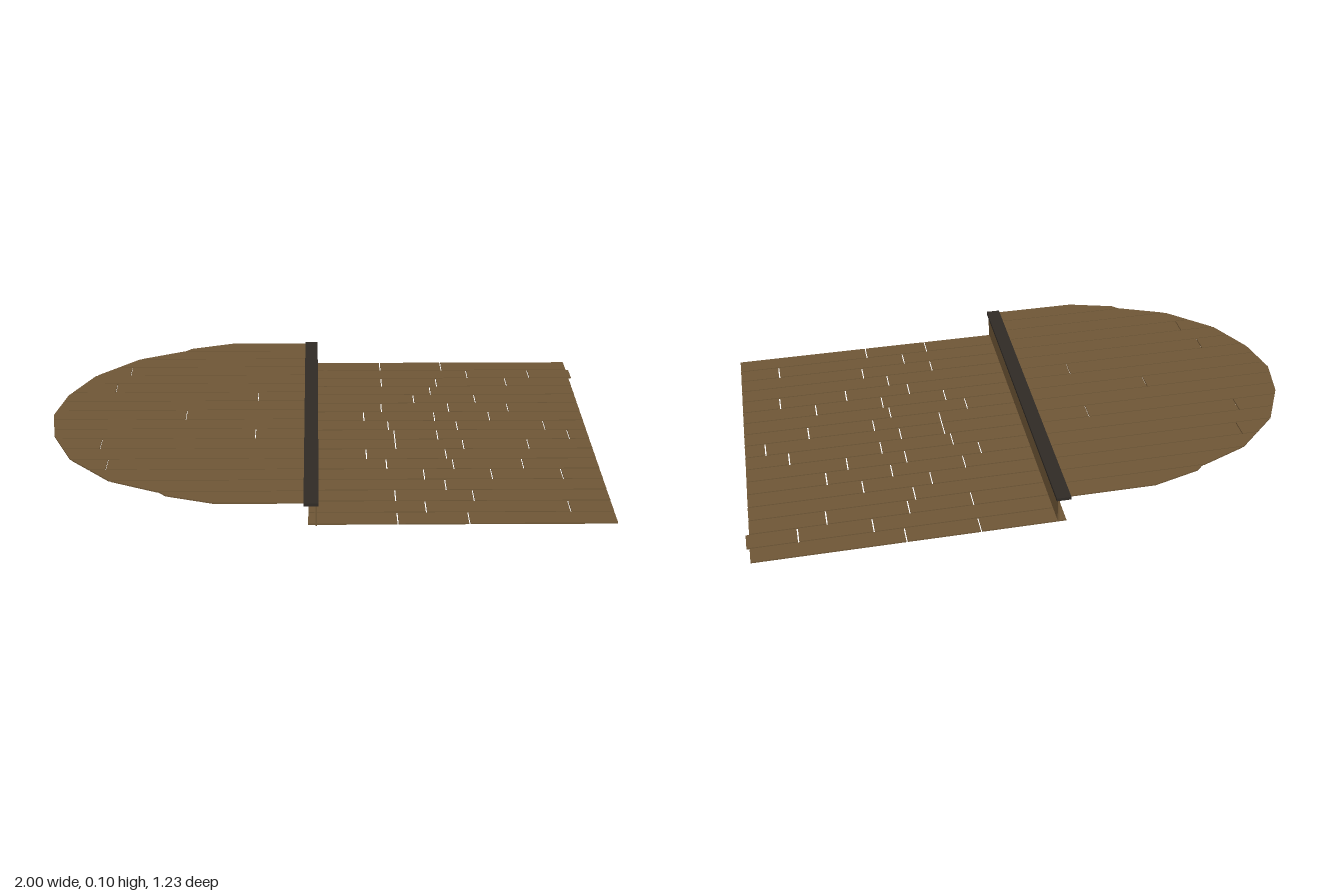
import * as THREE from 'three';

const wood = new THREE.MeshStandardMaterial({ color: 0x6e5636, flatShading: true });
const darkWood = new THREE.MeshStandardMaterial({ color: 0x2f2a25, flatShading: true });
const ROWS = 17;
const THICK = 0.005;

// A flat board from an outline in x and z, with its top at the given height
function board(name, outline, top) {
  const shape = new THREE.Shape(outline.map(([x, z]) => new THREE.Vector2(x, z)));
  const geo = new THREE.ExtrudeGeometry(shape, { depth: THICK, bevelEnabled: false });
  geo.rotateX(Math.PI / 2);
  const mesh = new THREE.Mesh(geo, wood);
  mesh.name = name;
  mesh.position.y = top;
  return mesh;
}

function box(name, material, [x0, x1], [y0, y1], [z0, z1]) {
  const mesh = new THREE.Mesh(new THREE.BoxGeometry(x1 - x0, y1 - y0, z1 - z0), material);
  mesh.name = name;
  mesh.position.set((x0 + x1) / 2, (y0 + y1) / 2, (z0 + z1) / 2);
  return mesh;
}

// Lower floor: x positions of the plank joints, row by row from the back
const LOWER_JOINTS = [
  [0.23, 0.48], [0.58, 0.83], [0.23, 0.45, 0.73], [0.42], [0.35, 0.59],
  [0.22, 0.48, 0.71], [0.15, 0.42, 0.63], [0.24, 0.5, 0.83], [0.26, 0.42, 0.91],
  [0.26, 0.51, 0.75], [0.15, 0.44], [0.22, 0.46, 0.71], [0.35, 0.59, 0.84],
  [0.42], [0.24, 0.51], [0.34, 0.83], [0.24, 0.48],
];

function lowerFloor() {
  const group = new THREE.Group();
  group.name = 'lowerFloor';
  const z0 = -0.613, pitch = 1.203 / ROWS, gap = 0.0022;
  LOWER_JOINTS.forEach((joints, row) => {
    const a = z0 + row * pitch + gap, b = z0 + (row + 1) * pitch - gap;
    const end = row === 1 ? 1 : 0.99 - row * 0.0009;
    const stops = [-0.06, ...joints, end];
    for (let i = 0; i < stops.length - 1; i++) {
      const l = stops[i] + (i ? gap : 0);
      const r = stops[i + 1] - (i < stops.length - 2 ? gap : 0);
      group.add(board('lowerPlank', [[l, a], [r, a], [r, b], [l, b]], THICK));
    }
  });
  return group;
}

// Upper floor: rounded edge as [distance from centre line, x]
const EDGE = [
  [0, -1], [0.155, -0.97], [0.315, -0.89], [0.46, -0.735],
  [0.535, -0.555], [0.555, -0.535], [0.603, -0.37],
];

function edgeX(z) {
  const d = Math.min(Math.abs(z), 0.603);
  const i = Math.max(1, EDGE.findIndex(([e]) => e >= d));
  const [d0, x0] = EDGE[i - 1], [d1, x1] = EDGE[i];
  return x0 + (x1 - x0) * (d - d0) / (d1 - d0);
}

const UPPER_JOINTS = { 3: -0.755, 5: -0.795, 6: -0.25, 8: -0.51, 10: -0.25, 11: -0.795, 13: -0.755 };

function upperFloor() {
  const group = new THREE.Group();
  group.name = 'upperFloor';
  const pitch = 1.206 / ROWS, gap = 0.0015, top = 0.099, right = -0.03;
  const corners = EDGE.flatMap(([d]) => [d, -d]);
  for (let row = 0; row < ROWS; row++) {
    const a = -0.603 + row * pitch + (row ? gap : 0);
    const b = -0.603 + (row + 1) * pitch - (row < ROWS - 1 ? gap : 0);
    const mids = [...new Set(corners)].filter(z => z > a && z < b).sort((p, q) => q - p);
    const curve = [b, ...mids, a].map(z => [edgeX(z), z]);
    const joint = UPPER_JOINTS[row];
    const r = joint === undefined ? right : joint - gap;
    group.add(board('upperPlank', [[r, a], [r, b], ...curve], top));
    if (joint !== undefined) {
      const l = joint + gap;
      group.add(board('upperPlank', [[l, a], [right, a], [right, b], [l, b]], top));
    }
  }
  return group;
}

export function createModel() {
  const model = new THREE.Group();
  model.name = 'steppedPlankFloor';
  model.add(lowerFloor(), upperFloor());

  // Riser boards closing the step
  const riser = new THREE.Group();
  riser.name = 'riser';
  for (const span of [[-0.61, 0.033], [0.037, 0.317], [0.321, 0.6]]) {
    riser.add(box('riserBoard', wood, [-0.036, -0.03], [0.003, 0.095], span));
  }
  model.add(riser);

  // Dark trim along the lip of the step
  model.add(box('edgeTrim', darkWood, [-0.075, -0.025], [0.09, 0.101], [-0.613, 0.613]));
  return model;
}
